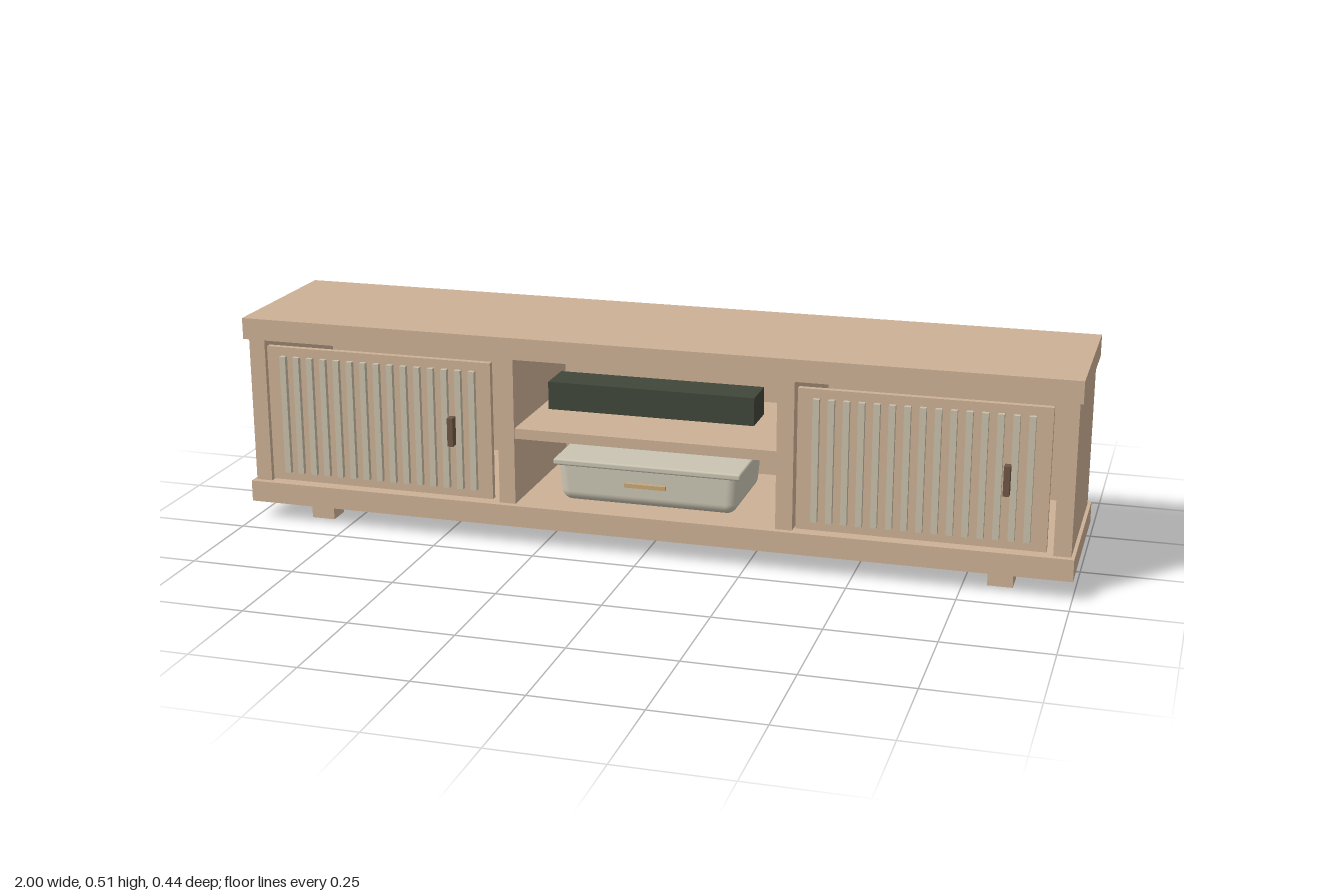
import * as THREE from 'three';
import { RoundedBoxGeometry } from 'three/addons/geometries/RoundedBoxGeometry.js';

const mat = (color) => new THREE.MeshStandardMaterial({ color });
const wood = mat(0xccb095);
const slatWood = mat(0xc8bfaa);
const darkWood = mat(0x6f5644);
const charcoal = mat(0x40463a);
const boxGrey = mat(0xcac4b2);
const brass = mat(0xc8a878);

// Box given by its extents along each axis
function block(name, material, [x0, x1], [y0, y1], [z0, z1]) {
  const mesh = new THREE.Mesh(new THREE.BoxGeometry(x1 - x0, y1 - y0, z1 - z0), material);
  mesh.position.set((x0 + x1) / 2, (y0 + y1) / 2, (z0 + z1) / 2);
  mesh.name = name;
  return mesh;
}

// Panel door with vertical slats and a pull
function makeDoor(name) {
  const door = new THREE.Group();
  door.name = name;
  door.add(block('doorPanel', wood, [-0.285, 0.285], [0.11, 0.445], [0.175, 0.19]));
  const count = 15;
  for (let i = 0; i < count; i++) {
    const x = -0.241 + (0.482 * i) / (count - 1);
    door.add(block('doorSlat', slatWood, [x - 0.0075, x + 0.0075], [0.132, 0.424], [0.19, 0.202]));
  }
  door.add(block('doorHandle', darkWood, [0.186, 0.2], [0.243, 0.312], [0.2, 0.223]));
  return door;
}

// Lidded storage box: rounded tub, narrower at the base
function makeStorageBox() {
  const box = new THREE.Group();
  box.name = 'storageBox';
  const geo = new RoundedBoxGeometry(0.442, 0.13, 0.25, 4, 0.026);
  const p = geo.attributes.position;
  for (let i = 0; i < p.count; i++) {
    const y = Math.min(p.getY(i), 0.03);
    const s = 0.965 + 0.035 * (y + 0.065) / 0.095;
    p.setXYZ(i, p.getX(i) * s, y, p.getZ(i) * s);
  }
  const tub = new THREE.Mesh(geo, boxGrey);
  tub.name = 'tub';
  tub.position.set(0, 0.172, 0.023);
  const lid = new THREE.Mesh(new RoundedBoxGeometry(0.456, 0.016, 0.264, 2, 0.005), boxGrey);
  lid.name = 'lid';
  lid.position.set(0, 0.206, 0.023);
  box.add(tub, lid, block('boxHandle', brass, [-0.052, 0.048], [0.158, 0.168], [0.14, 0.156]));
  return box;
}

export function createModel() {
  const model = new THREE.Group();
  model.name = 'mediaConsole';

  // Carcass
  model.add(
    block('topBoard', wood, [-1, 1], [0.458, 0.51], [-0.222, 0.19]),
    block('baseBoard', wood, [-1, 1], [0.046, 0.098], [-0.222, 0.19]),
    block('backPanel', wood, [-0.98, 0.98], [0.098, 0.458], [-0.218, -0.207]),
    block('shelf', wood, [-0.317, 0.317], [0.26, 0.285], [-0.207, 0.172])
  );
  for (const s of [-1, 1]) {
    const span = (a, b) => (s > 0 ? [a, b] : [-b, -a]);
    model.add(block('sidePanel', wood, span(0.952, 0.992), [0.098, 0.458], [-0.207, 0.175]));
    model.add(block('divider', wood, span(0.317, 0.357), [0.098, 0.458], [-0.207, 0.175]));
    for (const z of [-0.175, 0.085]) {
      model.add(block('foot', wood, span(0.805, 0.863), [0, 0.046], [z, z + 0.058]));
    }
    const door = makeDoor(s > 0 ? 'leftDoor' : 'rightDoor');
    door.position.x = s * 0.653;
    model.add(door);
  }

  // Contents of the open bay
  model.add(block('soundbar', charcoal, [-0.25, 0.25], [0.323, 0.39], [0.02, 0.117]));
  model.add(makeStorageBox());
  return model;
}
